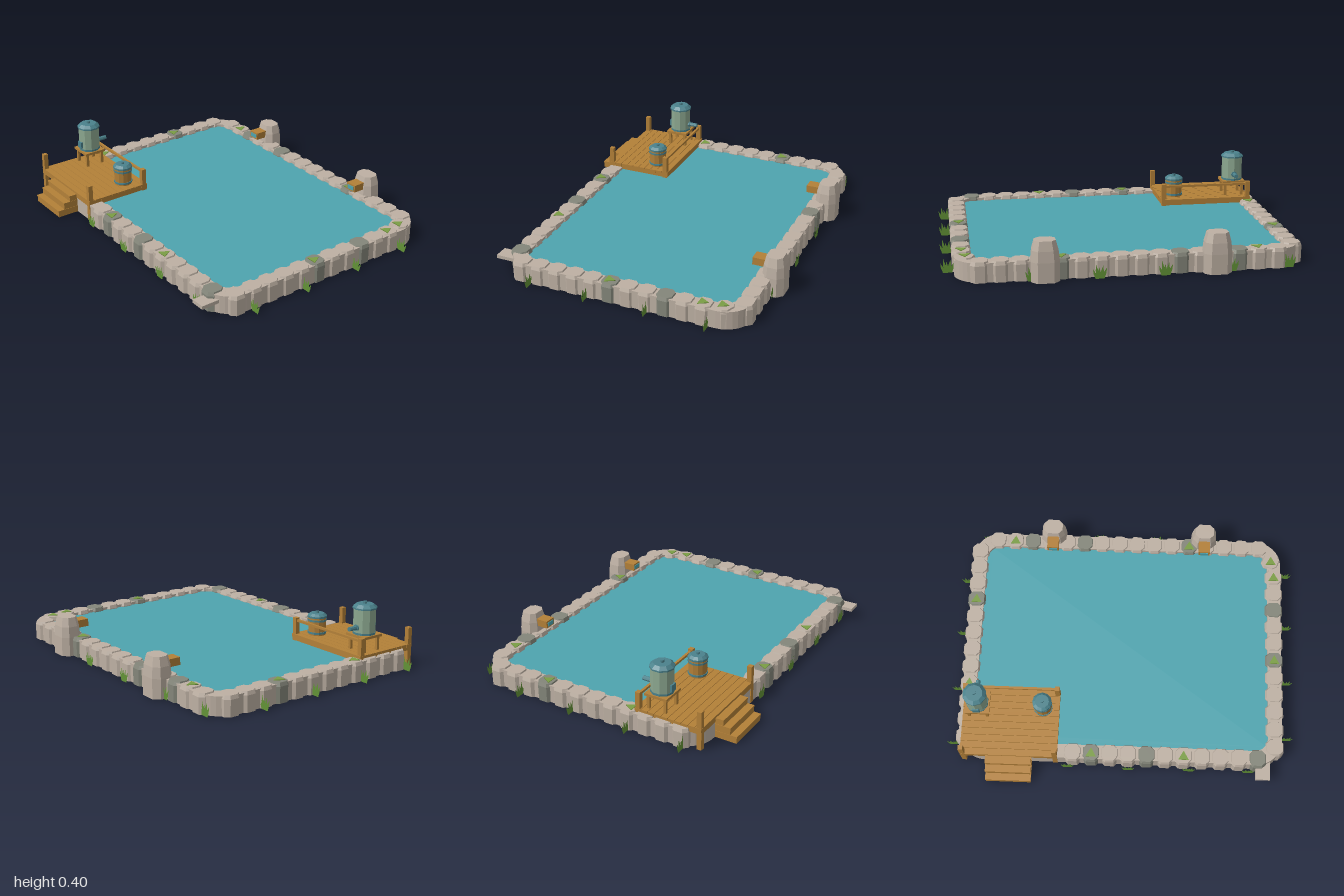
import * as THREE from 'three';

const mat = (name, color) => {
  const m = new THREE.MeshStandardMaterial({ color });
  m.name = name;
  return m;
};

export function createModel() {
  const root = new THREE.Group();
  root.name = 'stonePool';
  const stone = mat('light stone', 0xbdb0a3), darkStone = mat('dark stone', 0x84867a);
  const wood = mat('wood', 0xb38038), darkWood = mat('dark wood', 0x8a5f28);
  const water = mat('water', 0x4ea4af), teal = mat('teal metal', 0x4b828c);
  const tankGreen = mat('pale green metal', 0x8ca890), moss = mat('moss', 0x7a9d44);
  const grass = mat('grass', 0x629236), floorMat = mat('dark floor', 0x736f64);
  // Stones are open underneath, grass blades are flat
  [stone, darkStone, grass].forEach((m) => { m.side = THREE.DoubleSide; });

  const flat = (g) => {
    const f = g.index ? g.toNonIndexed() : g;
    f.computeVertexNormals();
    return f;
  };
  const add = (name, geo, m, x = 0, y = 0, z = 0, parent = root) => {
    const mesh = new THREE.Mesh(geo, m);
    mesh.name = name;
    mesh.position.set(x, y, z);
    parent.add(mesh);
    return mesh;
  };
  // Box given by its minimum and maximum corners
  const box = (name, m, x0, x1, y0, y1, z0, z1, parent) =>
    add(name, new THREE.BoxGeometry(x1 - x0, y1 - y0, z1 - z0), m,
      (x0 + x1) / 2, (y0 + y1) / 2, (z0 + z1) / 2, parent);
  // Upright many-sided drum from y0 to y1
  const drum = (name, m, x, z, rTop, rBottom, y0, y1, sides, parent) =>
    add(name, flat(new THREE.CylinderGeometry(rTop, rBottom, y1 - y0, sides)), m, x, (y0 + y1) / 2, z, parent);

  // Bottomless block with cut corners, lofted through levels of [height, scale]
  const block = (w, d, cut, levels) => {
    const a = w / 2, b = d / 2, pos = [], idx = [], n = 8;
    const ring = [[a, b - cut], [a - cut, b], [cut - a, b], [-a, b - cut],
      [-a, cut - b], [cut - a, -b], [a - cut, -b], [a, cut - b]];
    levels.forEach(([y, s]) => ring.forEach(([x, z]) => pos.push(x * s, y, z * s)));
    for (let l = 0; l < levels.length - 1; l++) {
      for (let i = 0; i < n; i++) {
        const p = l * n + i, q = l * n + (i + 1) % n;
        idx.push(p, p + n, q, q, p + n, q + n);
      }
    }
    const top = (levels.length - 1) * n;
    for (let i = 1; i < n - 1; i++) idx.push(top, top + i + 1, top + i);
    // Ring runs clockwise from above, so flip every face outward
    const g = new THREE.BufferGeometry();
    g.setAttribute('position', new THREE.Float32BufferAttribute(pos, 3));
    g.setIndex(idx);
    return flat(g);
  };

  // Rounded rectangle, hx by hz half sizes
  const CZ = -0.0325;
  const rounded = (C, hx, hz, r) => {
    const s = new C();
    s.moveTo(-hx + r, -hz);
    s.lineTo(hx - r, -hz); s.absarc(hx - r, -hz + r, r, -Math.PI / 2, 0);
    s.lineTo(hx, hz - r); s.absarc(hx - r, hz - r, r, 0, Math.PI / 2);
    s.lineTo(-hx + r, hz); s.absarc(-hx + r, hz - r, r, Math.PI / 2, Math.PI);
    s.lineTo(-hx, -hz + r); s.absarc(-hx + r, -hz + r, r, Math.PI, Math.PI * 1.5);
    return s;
  };
  const slab = (shape, depth) => new THREE.ExtrudeGeometry(shape,
    { depth, bevelEnabled: false, curveSegments: 4 }).rotateX(-Math.PI / 2);
  // Drops the lower cap, which is the first half of the cap group
  const bottomless = (g) => {
    const skip = g.groups[0].count / 2, out = new THREE.BufferGeometry();
    ['position', 'normal'].forEach((k) => out.setAttribute(k,
      new THREE.BufferAttribute(g.attributes[k].array.slice(skip * 3), 3)));
    return out;
  };

  // Basin: stone rim, dark floor and water surface
  const rim = rounded(THREE.Shape, 0.93, 0.697, 0.15);
  rim.holes.push(rounded(THREE.Path, 0.85, 0.617, 0.08));
  add('rimWall', bottomless(slab(rim, 0.104)), stone, 0, 0, CZ);
  add('poolFloor', slab(rounded(THREE.Shape, 0.855, 0.622, 0.08), 0.07), floorMat, 0, 0.01, CZ);
  add('waterSurface', slab(rounded(THREE.Shape, 0.852, 0.619, 0.08), 0.012), water, 0, 0.076, CZ);

  // Rim stones: start, count, with indices of dark and mossy ones
  const stoneGeo = block(0.1, 0.104, 0.024, [[0, 0.98], [0.092, 1], [0.112, 0.86]]);
  const mossGeo = new THREE.CylinderGeometry(0.035, 0.035, 0.004, 3).rotateY(Math.PI);
  const rimStone = (x, z, turn, isDark, isMossy) => {
    add('rimStone', stoneGeo, isDark ? darkStone : stone, x, 0, z).rotation.y = turn;
    if (isMossy) add('mossPatch', mossGeo, moss, x, 0.114, z + 0.008);
  };
  const rows = [
    { along: 'x', at: -0.69, from: -0.79, count: 16, dark: [2, 5, 11], mossy: [1, 11] },
    { along: 'x', at: 0.628, from: -0.27, count: 11, dark: [1, 4, 10], mossy: [1, 6] },
    { along: 'z', at: -0.893, from: -0.615, count: 12, dark: [3], mossy: [3, 8] },
    { along: 'z', at: 0.888, from: -0.5, count: 11, dark: [2, 5], mossy: [0, 5] },
  ];
  rows.forEach(({ along, at, from, count, dark, mossy }) => {
    for (let i = 0; i < count; i++) {
      const p = from + i * 0.106, isX = along === 'x';
      rimStone(isX ? p : at, isX ? at : p, isX ? 0 : Math.PI / 2, dark.includes(i), mossy.includes(i));
    }
  });
  rimStone(0.872, -0.605, 1.2, false, true);
  box('overflowLedge', stone, 0.78, 0.862, 0.06, 0.08, 0.6, 0.745);

  // Fountain pillars with wooden spouts
  const pillarGeo = block(0.15, 0.122, 0.032, [[0, 1], [0.11, 1], [0.17, 0.92], [0.222, 0.74]]);
  [-0.45, 0.464].forEach((x) => {
    const g = new THREE.Group();
    g.name = 'fountainPillar';
    g.position.x = x;
    root.add(g);
    add('pillar', pillarGeo, stone, 0, 0, -0.735, g);
    box('spout', wood, -0.034, 0.034, 0.147, 0.19, -0.72, -0.612, g);
    box('spoutWater', water, -0.024, 0.024, 0.156, 0.18, -0.613, -0.608, g);
  });

  // Deck: planks over a frame, posts and back rail
  const deck = new THREE.Group();
  deck.name = 'deck';
  root.add(deck);
  const planks = 10, pitch = 0.4 / planks;
  for (let i = 0; i < planks; i++) {
    const z = 0.27 + i * pitch;
    box('plank', wood, -0.912, -0.356, 0.108, 0.127, z + 0.0012, z + pitch - 0.0012, deck);
  }
  box('deckUnderside', darkWood, -0.905, -0.363, 0.1, 0.115, 0.275, 0.665, deck);
  [0.272, 0.656].forEach((z) => box('deckBeam', wood, -0.91, -0.358, 0.092, 0.12, z, z + 0.012, deck));
  [-0.911, -0.369].forEach((x) => box('deckBeam', wood, x, x + 0.012, 0.092, 0.12, 0.274, 0.667, deck));
  [-0.897, -0.37].forEach((x) => [0.29, 0.655].forEach((z) =>
    box('deckPost', wood, x - 0.0135, x + 0.0135, 0, 0.222, z - 0.0135, z + 0.0135, deck)));
  box('backRail', wood, -0.905, -0.362, 0.2, 0.213, 0.283, 0.297, deck);

  // Three steps down to the ground
  [[0.715, 0.115], [0.755, 0.08], [0.793, 0.04]].forEach(([z, h]) => {
    box('stepRiser', wood, -0.764, -0.506, 0, h - 0.008, 0.66, z - 0.002);
    box('stepTread', wood, -0.766, -0.504, h - 0.01, h, 0.66, z);
  });

  // Raised water tank on a four-legged stand
  const tank = new THREE.Group();
  tank.name = 'waterTank';
  root.add(tank);
  const tx = -0.82, tz = 0.385;
  box('standTop', wood, tx - 0.07, tx + 0.07, 0.204, 0.218, tz - 0.067, tz + 0.067, tank);
  [-1, 1].forEach((sx) => [-1, 1].forEach((sz) => {
    const x = tx + sx * 0.052, z = tz + sz * 0.05;
    box('standLeg', wood, x - 0.008, x + 0.008, 0.12, 0.206, z - 0.008, z + 0.008, tank);
  }));
  drum('tankBody', tankGreen, tx, tz, 0.062, 0.062, 0.218, 0.365, 10, tank);
  drum('tankBand', teal, tx, tz, 0.064, 0.064, 0.218, 0.23, 10, tank);
  drum('tankRoofEdge', teal, tx, tz, 0.068, 0.068, 0.36, 0.369, 10, tank);
  drum('tankRoof', teal, tx, tz, 0.048, 0.068, 0.369, 0.386, 10, tank);
  drum('tankKnob', teal, tx, tz, 0.011, 0.011, 0.386, 0.399, 8, tank);
  box('tankHatch', teal, tx - 0.019, tx + 0.019, 0.236, 0.276, tz + 0.05, tz + 0.069, tank);
  [['outletPipe', 0.013, 0.09, 0.315], ['pipeCollar', 0.018, 0.012, 0.325]].forEach(([name, r, len, z]) =>
    add(name, flat(new THREE.CylinderGeometry(r, r, len, 8).rotateX(Math.PI / 2)), teal, tx, 0.259, z, tank));

  // Wooden barrel with metal hoops and lid
  const barrel = new THREE.Group();
  barrel.name = 'barrel';
  root.add(barrel);
  const bx = -0.45, bz = 0.378;
  drum('barrelBody', wood, bx, bz, 0.053, 0.05, 0.124, 0.23, 12, barrel);
  [0.136, 0.208].forEach((y) => drum('barrelHoop', teal, bx, bz, 0.055, 0.055, y, y + 0.011, 12, barrel));
  drum('barrelLidEdge', teal, bx, bz, 0.056, 0.056, 0.229, 0.24, 12, barrel);
  drum('barrelLid', teal, bx, bz, 0.04, 0.056, 0.24, 0.253, 12, barrel);
  drum('barrelKnob', teal, bx, bz, 0.01, 0.01, 0.253, 0.264, 8, barrel);

  // Grass tufts: flat fans of pointed blades
  const blades = [[-0.016, -0.037, 0.06], [-0.008, -0.018, 0.074], [0, 0.004, 0.064],
    [0.009, 0.021, 0.08], [0.016, 0.037, 0.054]].map(([x, tip, h]) => new THREE.Shape([
    new THREE.Vector2(x - 0.008, 0), new THREE.Vector2(x + 0.008, 0),
    new THREE.Vector2((x + tip) / 2 + 0.008, h * 0.55), new THREE.Vector2(tip, h),
    new THREE.Vector2((x + tip) / 2 - 0.007, h * 0.5)]));
  const tuftGeo = new THREE.ShapeGeometry(blades);
  const tufts = [[-0.85, -0.73], [-0.53, -0.747], [-0.17, -0.76], [0.18, -0.76], [0.53, -0.747],
    [-0.3, 0.692], [0.05, 0.697], [0.4, 0.692], [0.74, 0.69]];
  [-0.54, -0.2, 0.15, 0.49].forEach((z) => tufts.push([0.963, z]));
  [-0.44, -0.1, 0.25, 0.58].forEach((z) => tufts.push([-0.963, z]));
  tufts.forEach(([x, z]) => add('grassTuft', tuftGeo, grass, x, 0, z));

  return root;
}
